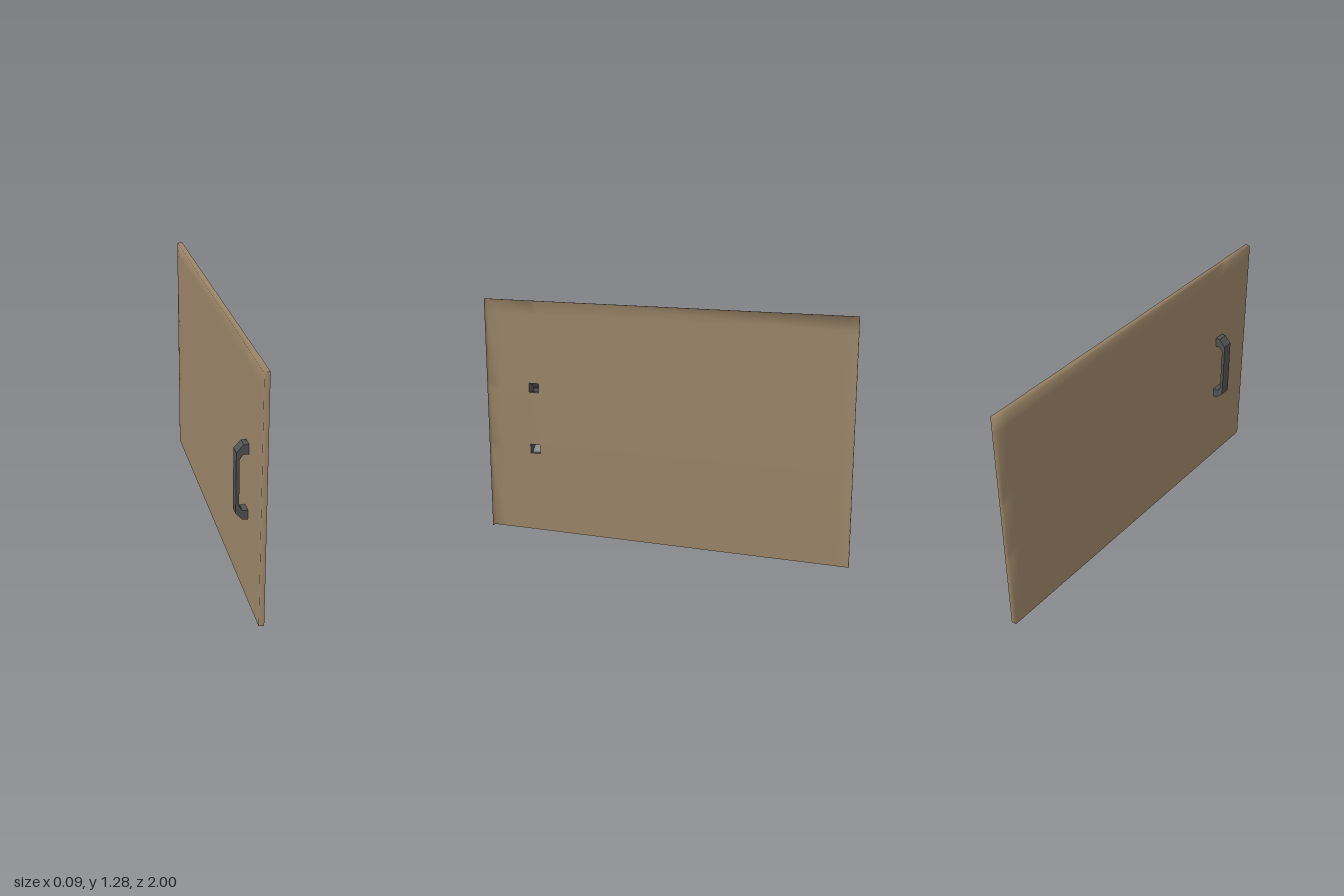
import * as THREE from 'three';

const tan = new THREE.MeshStandardMaterial({ color: 0x9a8467, side: THREE.DoubleSide });
tan.name = 'tan panel';
const grey = new THREE.MeshStandardMaterial({ color: 0x505152, side: THREE.DoubleSide });
grey.name = 'dark grey handle';

const FACE = 0.015, RIM = 0.041;      // x of the sheet and of the lip edge
const Z0 = 0.706, Z1 = 0.763;         // handle width
const LOW = [0.438, 0.487], HIGH = [0.777, 0.827]; // handle foot heights

// Thin pressed sheet: lips on the top and both ends, open below, two square holes
function panelGeometry() {
  const zs = [-1, -0.997, -0.93, Z0, Z1, 0.93, 0.997, 1];
  const ys = [0, ...LOW, ...HIGH, 1.2, 1.272, 1.277];
  const pos = [], index = [];
  const nz = zs.length, ny = ys.length;
  ys.forEach((y, j) => zs.forEach((z, i) => {
    const onLip = i === 0 || i === nz - 1 || j === ny - 1;
    pos.push(onLip ? RIM : FACE, y, z);
  }));
  for (let j = 0; j < ny - 1; j++) {
    for (let i = 0; i < nz - 1; i++) {
      if (i === 3 && (j === 1 || j === 3)) continue; // holes behind the handle feet
      const a = j * nz + i, b = a + 1, c = a + nz, d = c + 1;
      index.push(a, b, d, a, d, c);
    }
  }
  const g = new THREE.BufferGeometry();
  g.setAttribute('position', new THREE.Float32BufferAttribute(pos, 3));
  g.setIndex(index);
  g.computeVertexNormals();
  return g;
}

// Hollow square tube following a bracket-shaped path, open at both feet
function handleGeometry() {
  // [outer x, outer y, inner x, inner y] from the upper foot to the lower one
  const path = [
    [FACE, HIGH[1], FACE, HIGH[0]],
    [-0.01, HIGH[1], -0.012, HIGH[0]],
    [-0.044, 0.79, -0.028, 0.753],
    [-0.044, 0.473, -0.028, 0.51],
    [-0.01, LOW[0], -0.012, LOW[1]],
    [FACE, LOW[0], FACE, LOW[1]],
  ];
  const rings = path.map(([ox, oy, ix, iy]) => [
    [ox, oy, Z0], [ox, oy, Z1], [ix, iy, Z1], [ix, iy, Z0],
  ]);
  const pos = [];
  for (let s = 0; s < rings.length - 1; s++) {
    for (let k = 0; k < 4; k++) {
      const n = (k + 1) % 4;
      const a = rings[s][k], b = rings[s][n], c = rings[s + 1][n], d = rings[s + 1][k];
      pos.push(...a, ...d, ...c, ...a, ...c, ...b);
    }
  }
  const g = new THREE.BufferGeometry();
  g.setAttribute('position', new THREE.Float32BufferAttribute(pos, 3));
  g.computeVertexNormals();
  return g;
}

export function createModel() {
  const model = new THREE.Group();
  model.name = 'cupboardDoor';
  const panel = new THREE.Mesh(panelGeometry(), tan);
  panel.name = 'panel';
  const handle = new THREE.Mesh(handleGeometry(), grey);
  handle.name = 'handle';
  model.add(panel, handle);
  return model;
}
